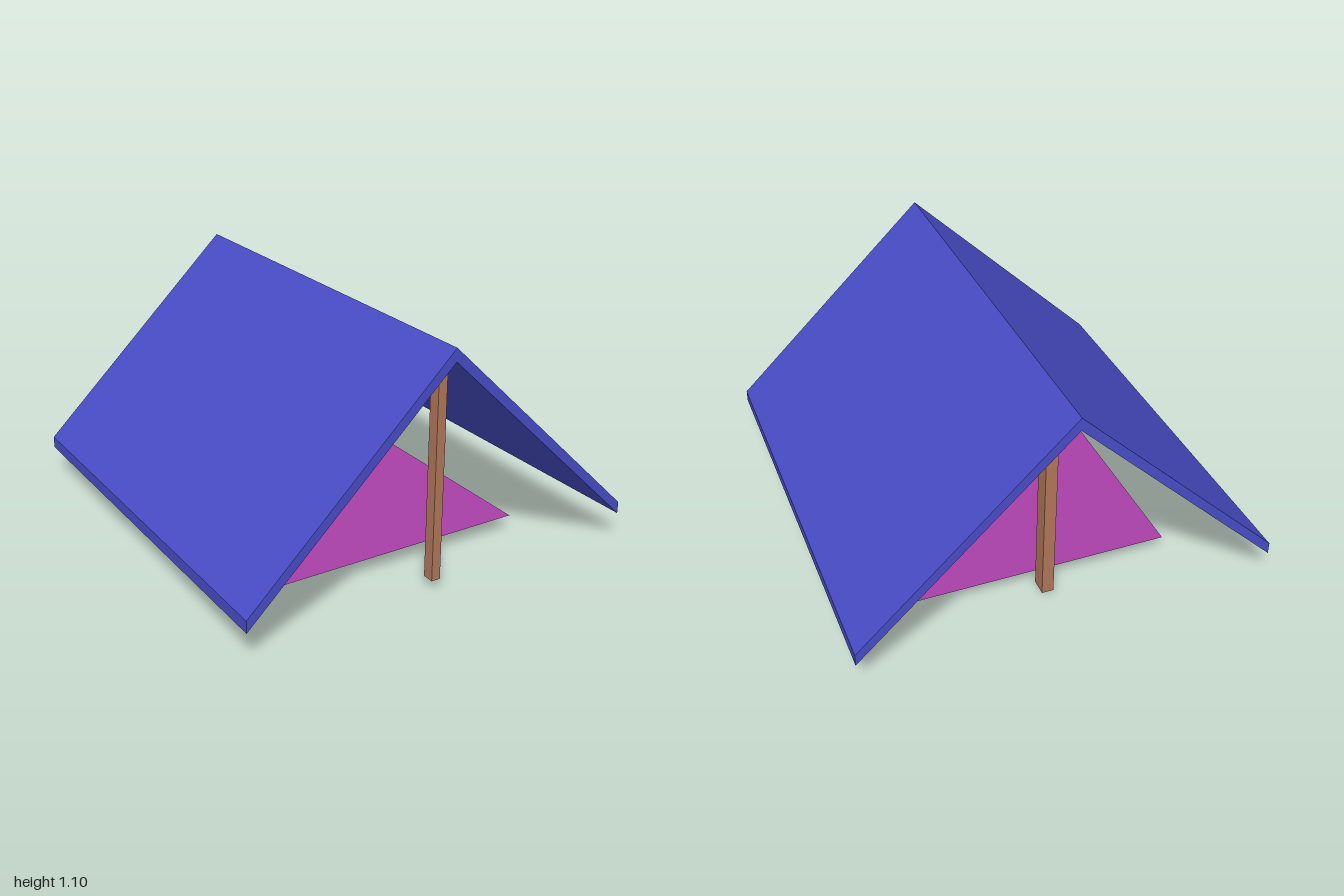
import * as THREE from 'three';

export function createModel() {
  const model = new THREE.Group();
  const canvas = new THREE.MeshStandardMaterial({ color: 0x484cc6 });
  canvas.name = 'blueCanvas';
  const wood = new THREE.MeshStandardMaterial({ color: 0xb0775a });
  wood.name = 'brownWood';
  const cloth = new THREE.MeshStandardMaterial({ color: 0xa840a8, side: THREE.DoubleSide });
  cloth.name = 'purpleCloth';

  const add = (name, geometry, material, x, y, z) => {
    const mesh = new THREE.Mesh(geometry, material);
    mesh.name = name;
    mesh.position.set(x, y, z);
    model.add(mesh);
    return mesh;
  };

  // Roof: an inverted V with upright eave edges, extruded along z
  const profile = new THREE.Shape([
    [-0.94, 0.135], [0, 1.037], [0.94, 0.135],
    [0.94, 0.19], [0, 1.095], [-0.94, 0.19],
  ].map(([x, y]) => new THREE.Vector2(x, y)));
  add('roof', new THREE.ExtrudeGeometry(profile, { depth: 2, bevelEnabled: false }), canvas, 0, 0, -1);

  // Posts under the ridge
  const post = (name, width, depth, bottom, z) => {
    const top = 1.04;
    add(name, new THREE.BoxGeometry(width, top - bottom, depth), wood, 0, (top + bottom) / 2, z);
  };
  post('frontPost', 0.042, 0.054, 0.04, 0.893);
  post('backPost', 0.054, 0.078, 0, -0.708);

  // Ground cloth: a flat sheet
  add('groundCloth', new THREE.PlaneGeometry(1.18, 1.36), cloth, 0, 0.078, 0).rotation.x = -Math.PI / 2;

  return model;
}
